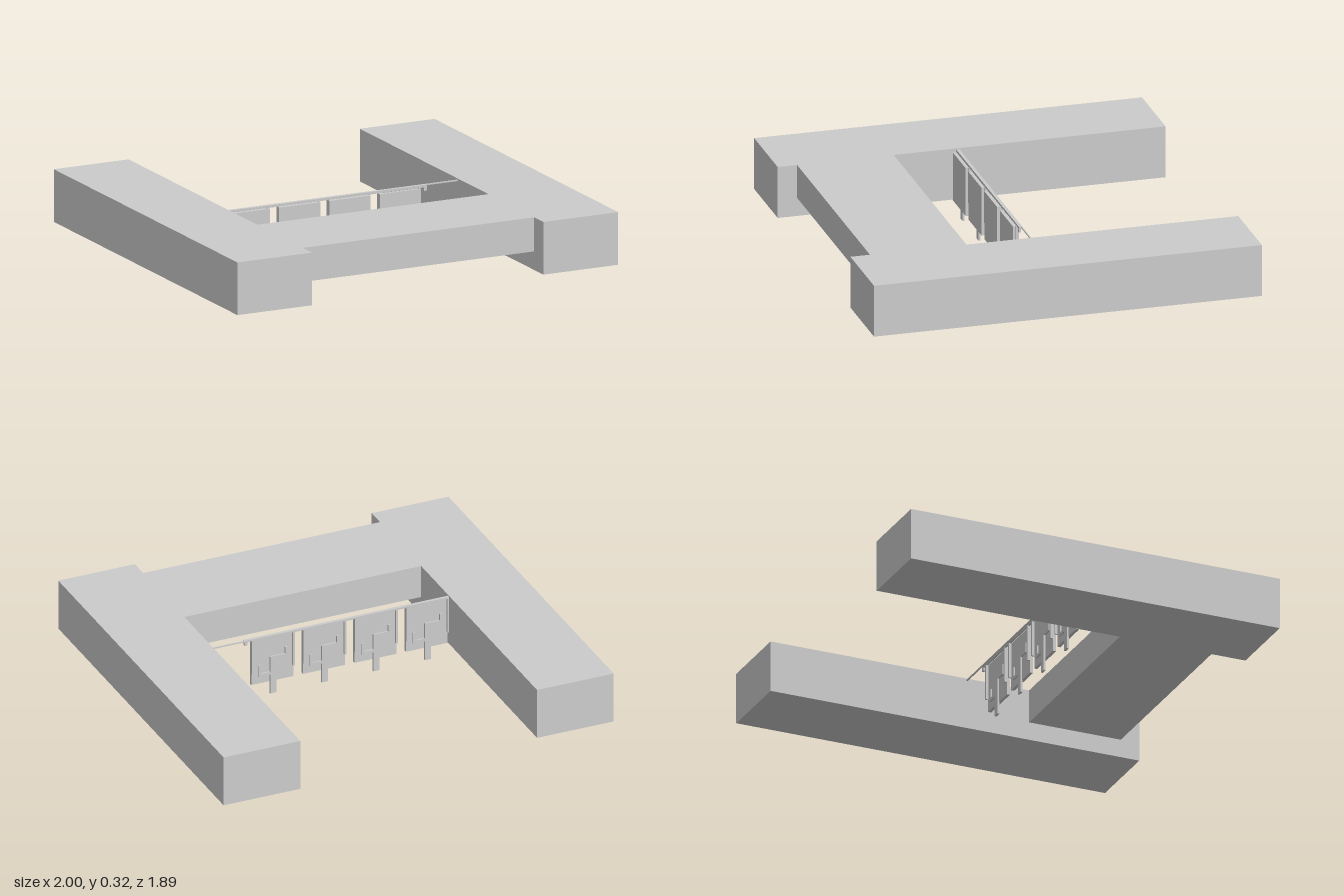
import * as THREE from 'three';

export function createModel() {
  const model = new THREE.Group();
  const material = new THREE.MeshStandardMaterial({ color: 0xcccccc, flatShading: true });

  // Box given by its extents on each axis
  function block(name, [x0, x1], [y0, y1], [z0, z1], parent = model) {
    const mesh = new THREE.Mesh(new THREE.BoxGeometry(x1 - x0, y1 - y0, z1 - z0), material);
    mesh.position.set((x0 + x1) / 2, (y0 + y1) / 2, (z0 + z1) / 2);
    mesh.name = name;
    parent.add(mesh);
  }

  // Two long side wings and the raised cross block between them
  block('leftWing', [0.607, 1], [0.065, 0.32], [-0.945, 0.945]);
  block('rightWing', [-1, -0.607], [0.065, 0.32], [-0.945, 0.945]);
  block('crossBlock', [-0.607, 0.607], [0.155, 0.32], [0.38, 0.85]);

  // Thin wire across the opening and the rail that carries the panels
  block('wire', [-0.607, 0.607], [0.308, 0.314], [0.059, 0.065]);
  block('rail', [-0.607, 0.44], [0.302, 0.314], [0.065, 0.075]);
  block('railEnd', [0.425, 0.44], [0.285, 0.302], [0.065, 0.075]);

  // Four hanging panels, each with a peg and a stepped latch behind it
  for (let i = 0; i < 4; i++) {
    const unit = new THREE.Group();
    unit.name = 'panelUnit';
    unit.position.x = -0.501 + i * 0.264;
    block('panel', [-0.108, 0.108], [0.062, 0.302], [0.077, 0.092], unit);
    block('peg', [-0.018, 0.015], [0, 0.19], [0.069, 0.079], unit);
    block('upperLatchArm', [-0.075, 0.015], [0.18, 0.195], [0.069, 0.079], unit);
    block('lowerLatchArm', [0.015, 0.075], [0.1, 0.115], [0.069, 0.079], unit);
    block('latchEnd', [-0.075, -0.062], [0.18, 0.23], [0.069, 0.079], unit);
    block('latchEnd', [0.062, 0.075], [0.1, 0.16], [0.069, 0.079], unit);
    block('hanger', [0.104, 0.112], [0.125, 0.305], [0.063, 0.079], unit);
    block('hanger', [-0.108, -0.1], [0.125, 0.305], [0.063, 0.079], unit);
    model.add(unit);
  }
  return model;
}
